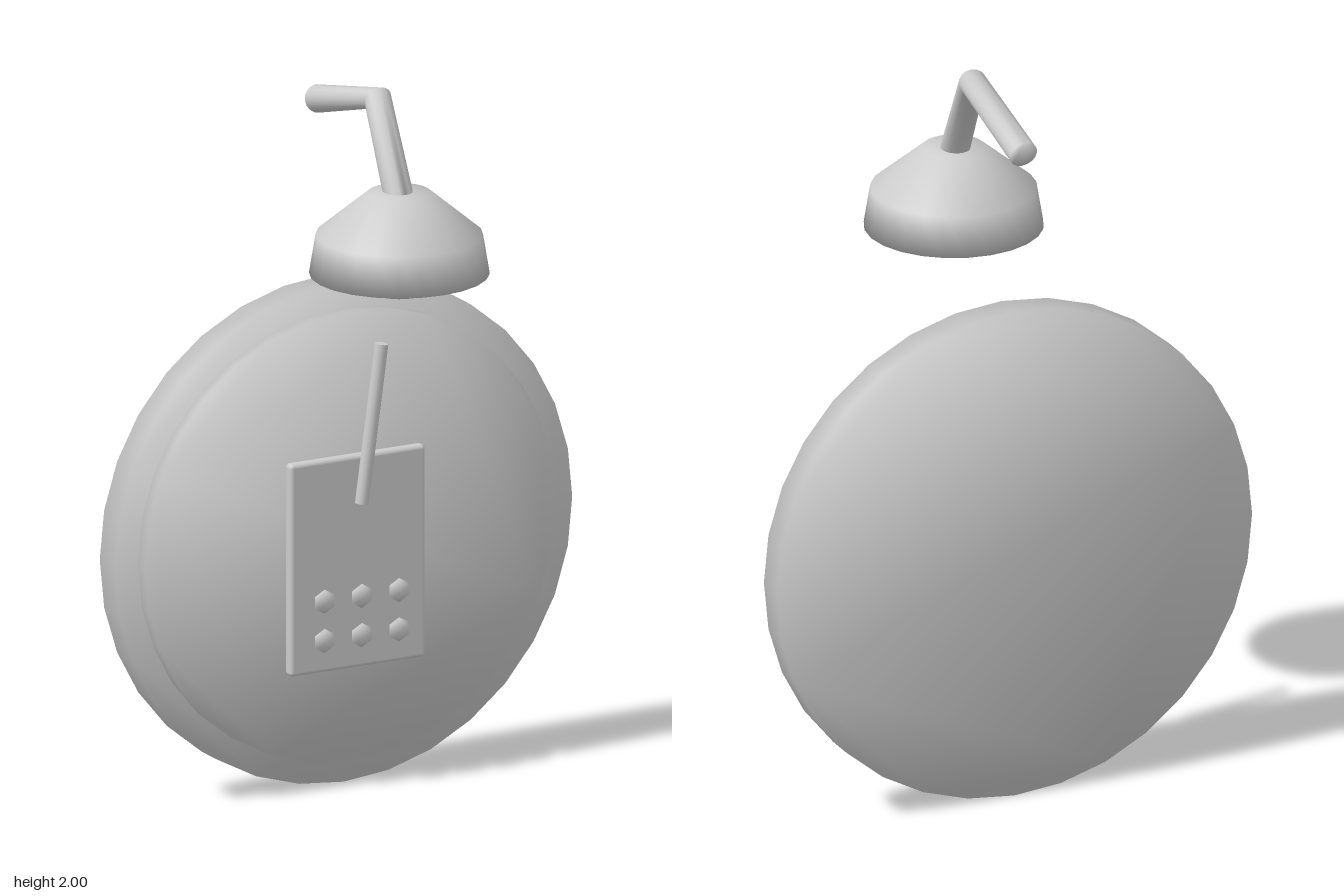
import * as THREE from 'three';
import { mergeVertices } from 'three/addons/utils/BufferGeometryUtils.js';
import { RoundedBoxGeometry } from 'three/addons/geometries/RoundedBoxGeometry.js';

export function createModel() {
  const model = new THREE.Group();
  const grey = new THREE.MeshStandardMaterial({ color: 0xcccccc });
  grey.name = 'lightGrey';

  function add(name, geometry, x = 0, y = 0, z = 0, parent = model) {
    const mesh = new THREE.Mesh(geometry, grey);
    mesh.name = name;
    mesh.position.set(x, y, z);
    parent.add(mesh);
    return mesh;
  }

  // Round plate facing z whose normals lean outward at the rim
  function disc(radius, depth) {
    const points = [];
    for (let i = 0; i < 32; i++) {
      const a = (i / 32) * Math.PI * 2;
      points.push(new THREE.Vector2(Math.cos(a) * radius, Math.sin(a) * radius));
    }
    const geometry = new THREE.ExtrudeGeometry(new THREE.Shape(points), { depth, bevelEnabled: false });
    const p = geometry.attributes.position;
    const n = geometry.attributes.normal;
    for (let i = 0; i < p.count; i++) {
      const v = new THREE.Vector3(p.getX(i) / radius, p.getY(i) / radius, p.getZ(i) > depth / 2 ? 1 : -1);
      v.normalize();
      n.setXYZ(i, v.x, v.y, v.z);
    }
    return geometry;
  }

  // Bent pipe lofted through oval rings; each ring is [yOuter, zOuter, yInner, zInner]
  function bentPipe(rings, radius, sides) {
    const position = [];
    const index = [];
    for (const [y0, z0, y1, z1] of rings) {
      for (let i = 0; i < sides; i++) {
        const a = (i / sides) * Math.PI * 2;
        const c = Math.cos(a) / 2;
        position.push(
          Math.sin(a) * radius,
          (y0 + y1) / 2 + (y0 - y1) * c,
          (z0 + z1) / 2 + (z0 - z1) * c
        );
      }
    }
    for (let r = 0; r < rings.length - 1; r++) {
      for (let i = 0; i < sides; i++) {
        const a = r * sides + i;
        const b = r * sides + ((i + 1) % sides);
        index.push(a, b, b + sides, a, b + sides, a + sides);
      }
    }
    // End caps
    const last = (rings.length - 1) * sides;
    for (let i = 1; i < sides - 1; i++) {
      index.push(0, i + 1, i, last, last + i, last + i + 1);
    }
    const geometry = new THREE.BufferGeometry();
    geometry.setAttribute('position', new THREE.Float32BufferAttribute(position, 3));
    geometry.setIndex(index);
    geometry.computeVertexNormals();
    return geometry;
  }

  // Round back plate and the smaller raised plate in front of it
  add('backPlate', disc(0.7, 0.085), 0, 0.703, -0.285);
  add('raisedPlate', disc(0.63, 0.038), 0, 0.703, -0.2);

  // Control panel
  add('panel', new RoundedBoxGeometry(0.415, 0.595, 0.034, 2, 0.012), 0, 0.642, -0.134);

  // Six low-poly buttons with their poles facing front
  const buttons = new THREE.Group();
  buttons.name = 'buttons';
  model.add(buttons);
  let buttonGeometry = new THREE.SphereGeometry(0.034, 6, 4);
  buttonGeometry.rotateX(Math.PI / 2);
  buttonGeometry.rotateZ(Math.PI / 6);
  buttonGeometry.scale(1, 1, 0.5);
  buttonGeometry.deleteAttribute('normal');
  buttonGeometry.deleteAttribute('uv');
  buttonGeometry = mergeVertices(buttonGeometry, 0.001);
  buttonGeometry.computeVertexNormals();
  for (const y of [0.55, 0.44]) {
    for (const x of [-0.114, 0, 0.114]) add('button', buttonGeometry, x, y, -0.098, buttons);
  }

  // Leaning lever
  const lever = add('lever', new THREE.CylinderGeometry(0.0185, 0.0185, 0.443, 12), 0.03, 1.029, -0.098);
  lever.rotation.z = -0.137;

  // Shower head with a flattened spray nozzle underneath
  const profile = [[0, 1.51], [0.243, 1.51], [0.225, 1.62], [0.085, 1.737], [0, 1.737]];
  add('showerHead', new THREE.LatheGeometry(profile.map(([r, y]) => new THREE.Vector2(r, y)), 24), 0, 0, 0.112);
  const nozzle = add('nozzle', new THREE.SphereGeometry(0.11, 24, 12), 0, 1.484, 0.112);
  nozzle.scale.y = 0.32;

  // Supply pipe rising from the head and bending backward
  add('pipe', bentPipe([
    [1.717, 0.158, 1.717, 0.065],
    [2.0, 0, 1.937, -0.02],
    [1.917, -0.354, 1.843, -0.333],
  ], 0.04, 16));

  return model;
}
